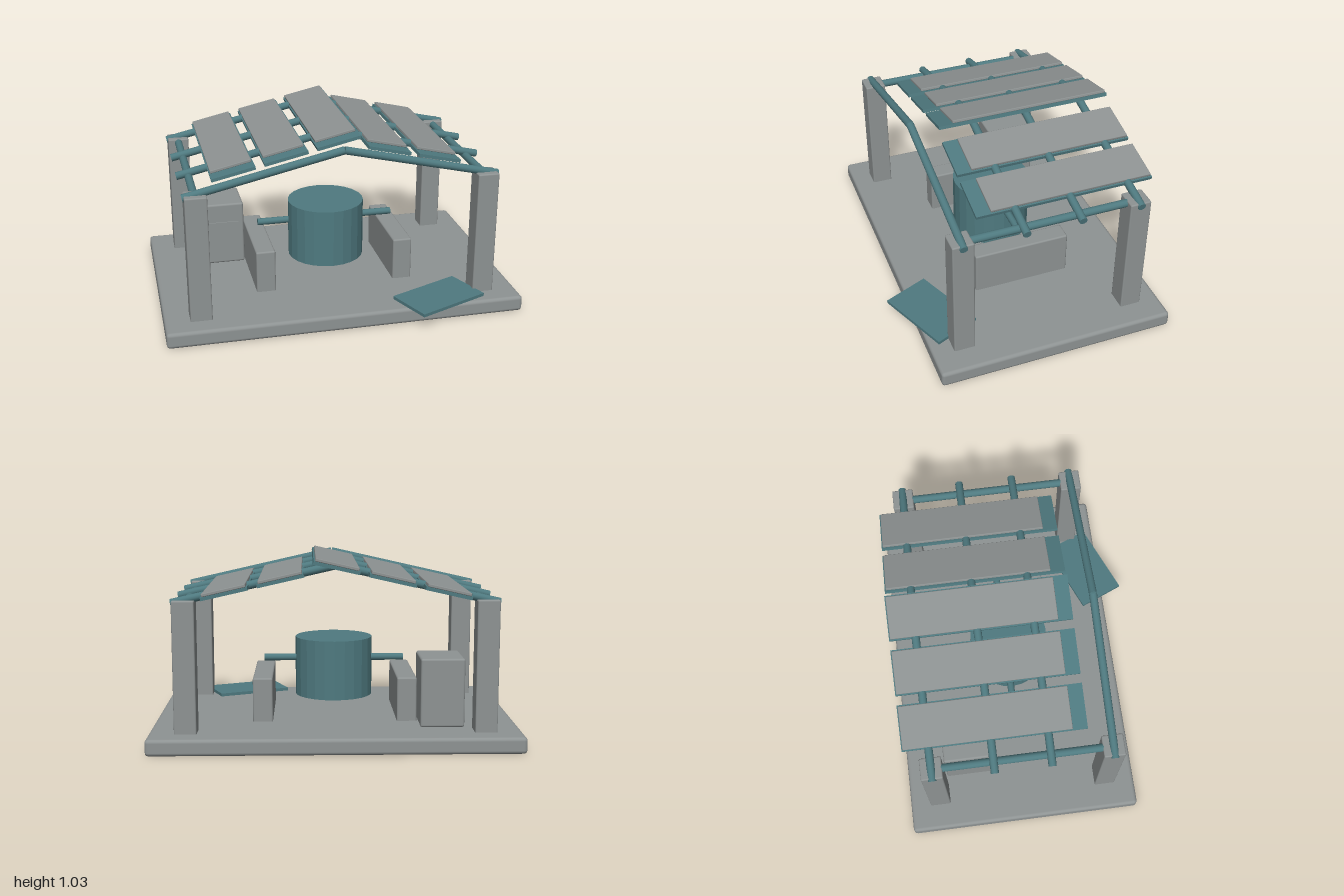
import * as THREE from 'three';
import { RoundedBoxGeometry } from 'three/addons/geometries/RoundedBoxGeometry.js';

export function createModel() {
  const model = new THREE.Group();
  model.name = 'openShelter';
  const stone = new THREE.MeshStandardMaterial({ color: 0x8e9393 });
  stone.name = 'stoneGrey';
  const teal = new THREE.MeshStandardMaterial({ color: 0x4f7a80 });
  teal.name = 'weatheredTeal';

  function add(name, geometry, material, x, y, z, parent = model) {
    const mesh = new THREE.Mesh(geometry, material);
    mesh.name = name;
    mesh.position.set(x, y, z);
    parent.add(mesh);
    return mesh;
  }
  // Rounded block given by its extents
  function block(name, x0, x1, y0, y1, z0, z1, radius) {
    const geometry = new RoundedBoxGeometry(x1 - x0, y1 - y0, z1 - z0, 2, radius);
    return add(name, geometry, stone, (x0 + x1) / 2, (y0 + y1) / 2, (z0 + z1) / 2);
  }
  // Round bar between two points
  function bar(name, from, to, radius) {
    const a = new THREE.Vector3(...from), b = new THREE.Vector3(...to);
    const dir = b.clone().sub(a);
    const mid = a.clone().add(b).multiplyScalar(0.5);
    const mesh = add(name, new THREE.CylinderGeometry(radius, radius, dir.length(), 12), teal, mid.x, mid.y, mid.z);
    mesh.quaternion.setFromUnitVectors(new THREE.Vector3(0, 1, 0), dir.normalize());
    return mesh;
  }

  // Floor slab
  block('floorSlab', -1, 1, 0, 0.09, -0.722, 0.605, 0.02);

  // Corner posts, side beams and low supports
  for (const s of [-1, 1]) {
    for (const z of [0.43, -0.548]) {
      block('post', s * 0.8 - 0.06, s * 0.8 + 0.06, 0.08, 0.8, z - 0.059, z + 0.059, 0.008);
    }
    bar('sideBeam', [s * 0.8, 0.778, 0.475], [s * 0.8, 0.778, -0.59], 0.022);
    block('support', s * 0.4 - 0.055, s * 0.4 + 0.055, 0.08, 0.335, -0.335, 0.22, 0.01);
  }

  // Cabinet with a raised label plate
  block('cabinet', -0.7, -0.46, 0.09, 0.468, -0.49, -0.215, 0.012);
  add('cabinetPlate', new THREE.BoxGeometry(0.18, 0.04, 0.009), stone, -0.58, 0.335, -0.212);

  // Drum on its axle
  const drumGeometry = new THREE.CylinderGeometry(0.22, 0.22, 0.335, 24).toNonIndexed();
  drumGeometry.computeVertexNormals();
  add('drum', drumGeometry, teal, 0, 0.358, -0.037);
  bar('axle', [-0.4, 0.405, -0.057], [0.4, 0.405, -0.057], 0.02);

  // Sloping rafters meeting at the ridge
  const ridgeY = 0.98, slope = 0.227, angle = Math.atan(slope);
  for (const z of [0.43, 0.093, -0.215, -0.548]) {
    for (const s of [-1, 1]) {
      bar('rafter', [s * 0.867, ridgeY - 0.867 * slope, z], [0, ridgeY, z], 0.022);
    }
  }

  // Roof slats: grey sheet over a longer teal sheet; the middle one follows the right-hand slope
  for (let i = -2; i <= 2; i++) {
    const x = i * 0.289;
    const slat = new THREE.Group();
    slat.name = 'roofSlat';
    slat.position.set(x, ridgeY - Math.abs(x) * slope, 0);
    slat.rotation.z = i <= 0 ? angle : -angle;
    add('slatBase', new THREE.BoxGeometry(0.247, 0.018, 0.995), teal, 0, -0.003, -0.1925, slat);
    add('slatCover', new RoundedBoxGeometry(0.232, 0.017, 0.908, 1, 0.004), stone, 0, 0.0145, -0.23, slat);
    model.add(slat);
  }

  // Loose sheet lying on the floor
  const sheet = add('looseSheet', new THREE.BoxGeometry(0.44, 0.018, 0.267), teal, 0.53, 0.101, 0.513);
  sheet.rotation.y = 0.397;

  return model;
}
